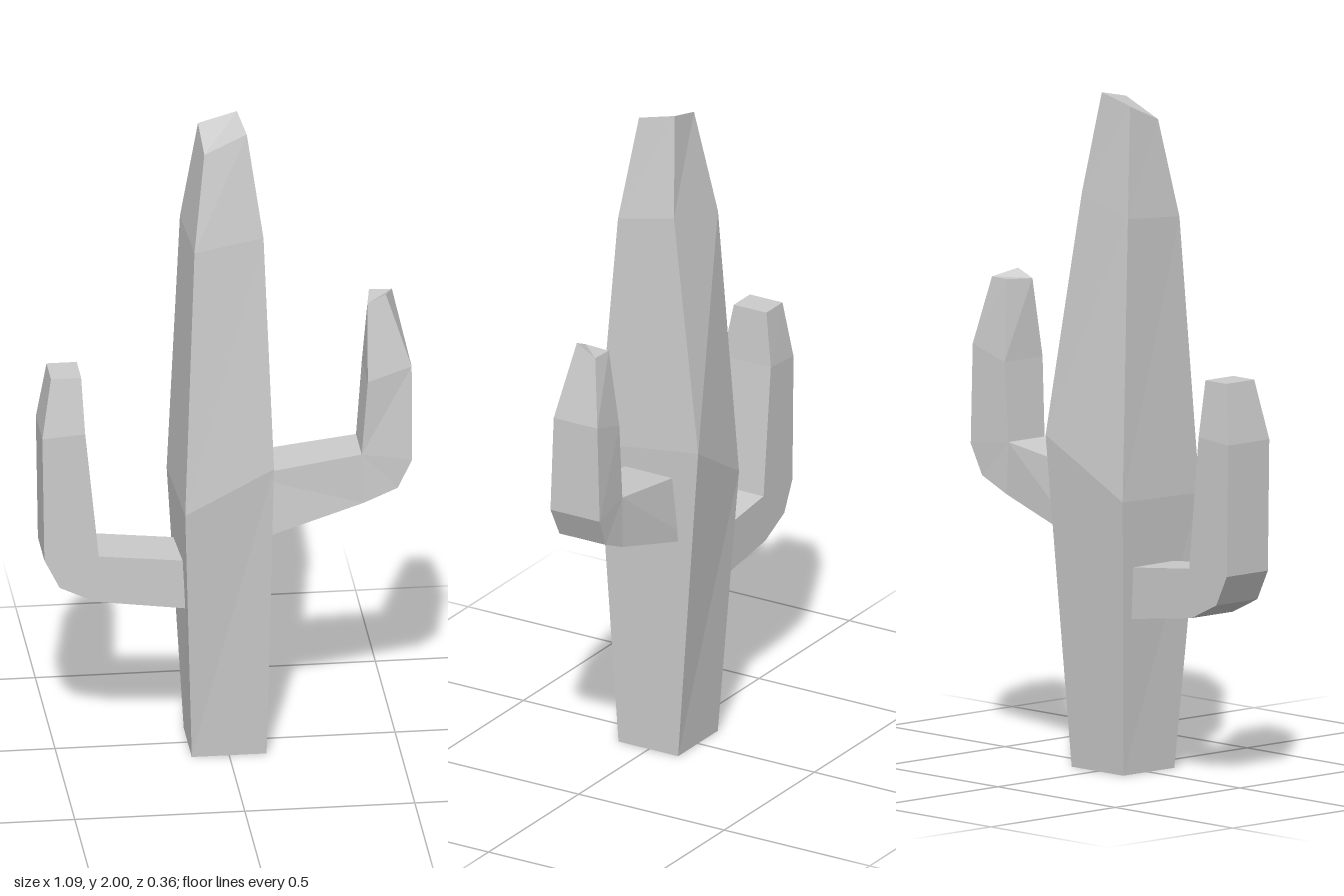
import * as THREE from 'three';

const material = new THREE.MeshStandardMaterial({ color: 0xcccccc, flatShading: true });

// Skin a run of four-cornered rings (counter-clockwise seen from the far end) and cap both ends.
function loft(name, rings) {
  const pos = [];
  const tri = (...corners) => corners.forEach((c) => pos.push(...c));
  for (let r = 0; r < rings.length - 1; r++) {
    const a = rings[r], b = rings[r + 1];
    for (let i = 0; i < 4; i++) {
      const j = (i + 1) % 4;
      if (a[i] !== a[j]) tri(a[i], a[j], b[j]);
      tri(a[i], b[j], b[i]);
    }
  }
  const s = rings[0], e = rings[rings.length - 1];
  tri(s[0], s[2], s[1]); tri(s[0], s[3], s[2]);
  tri(e[0], e[1], e[2]); tri(e[0], e[2], e[3]);
  const geometry = new THREE.BufferGeometry();
  geometry.setAttribute('position', new THREE.Float32BufferAttribute(pos, 3));
  geometry.computeVertexNormals();
  const mesh = new THREE.Mesh(geometry, material);
  mesh.name = name;
  return mesh;
}

// Arm section between two xy points p (lower x side) and q, each with its own back/front z.
const section = (p, q, [pBack, pFront], [qBack, qFront] = [pBack, pFront]) => [
  [...p, pFront], [...q, qFront], [...q, qBack], [...p, pBack],
];

export function createModel() {
  const group = new THREE.Group();
  group.name = 'cactus';

  // Trunk: slightly skewed rings from base to tip
  group.add(loft('trunk', [
    [[-0.11, 0, 0.105], [0.11, 0, 0.105], [0.11, 0, -0.1], [-0.11, 0, -0.1]],
    [[-0.138, 0.81, 0.18], [0.125, 0.94, 0.165], [0.133, 0.99, -0.183], [-0.155, 0.82, -0.145]],
    [[-0.105, 1.63, 0.13], [0.1, 1.66, 0.113], [0.093, 1.7, -0.075], [-0.122, 1.65, -0.093]],
    [[-0.07, 1.92, 0.077], [0.056, 1.975, 0.068], [0.04, 2, -0.045], [-0.075, 1.97, -0.04]],
  ]));

  // Left arm: the elbow fans around one inner corner
  const elbowL = [0.395, 0.925];
  group.add(loft('leftArm', [
    section([0.05, 0.88], [0.05, 0.67], [-0.093, 0.075], [-0.115, 0.093]),
    section(elbowL, [0.4, 0.77], [-0.085, 0.06], [-0.088, 0.062]),
    section(elbowL, [0.5, 0.815], [-0.085, 0.06], [-0.092, 0.066]),
    section(elbowL, [0.542, 0.905], [-0.085, 0.06], [-0.098, 0.071]),
    section([0.412, 1.16], [0.542, 1.2], [-0.085, 0.068], [-0.09, 0.06]),
    [[0.415, 1.395, 0.03], [0.47, 1.42, 0.025], [0.497, 1.4, -0.055], [0.43, 1.4, -0.06]],
  ]));

  // Right arm
  const elbowR = [-0.38, 0.645], z = [-0.09, 0.075];
  group.add(loft('rightArm', [
    section([-0.05, 0.455], [-0.05, 0.61], z),
    section([-0.39, 0.5], elbowR, z),
    section([-0.495, 0.55], elbowR, z),
    section([-0.54, 0.64], elbowR, z),
    section([-0.546, 1.03], [-0.42, 1.04], z),
    section([-0.517, 1.207], [-0.428, 1.207], [-0.07, 0.042]),
  ]));

  return group;
}
